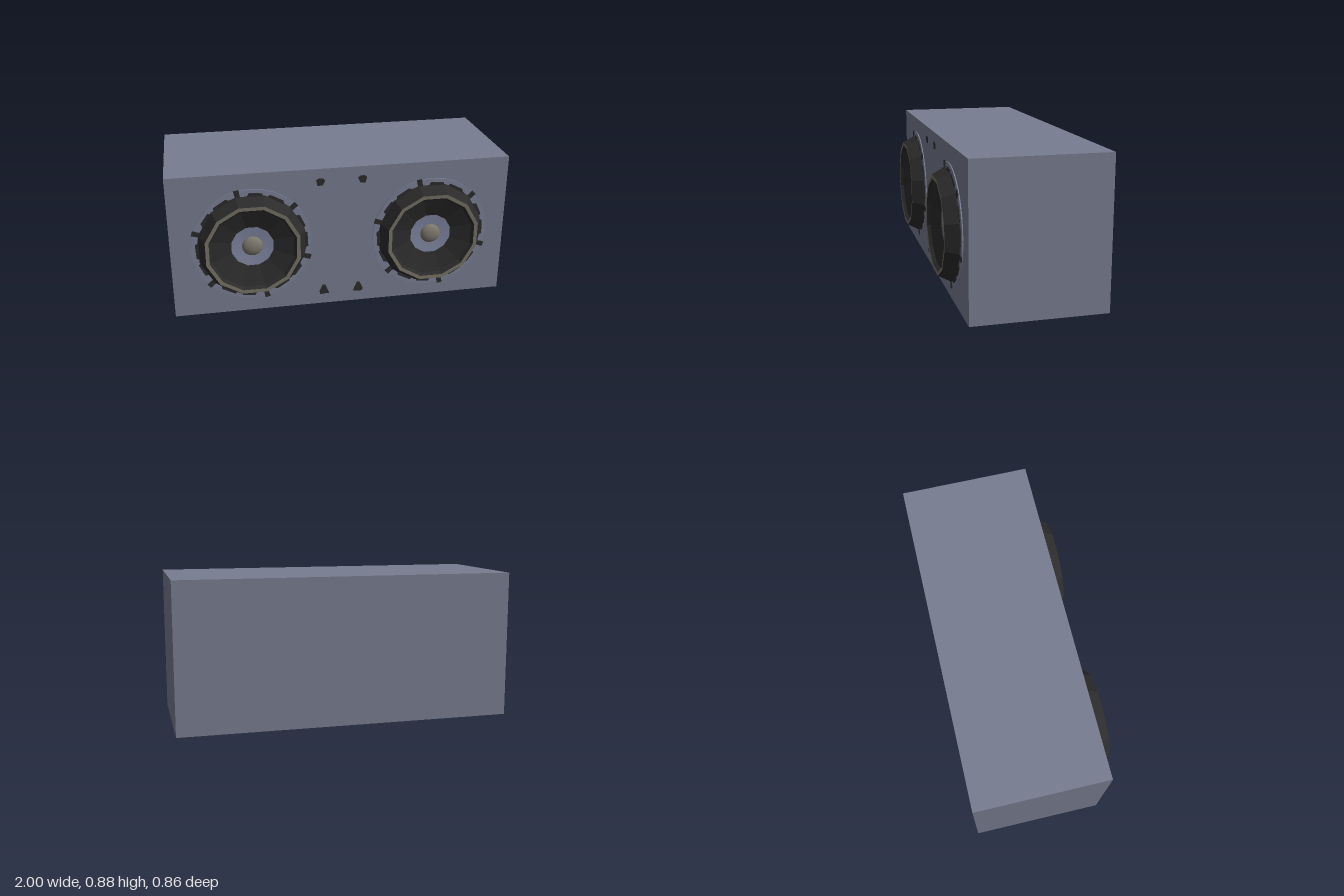
import * as THREE from 'three';

const mat = (name, color, side = THREE.FrontSide) => {
  const m = new THREE.MeshStandardMaterial({ color, side });
  m.name = name;
  return m;
};

export function createModel() {
  const cabinetMat = mat('slate', 0x777c90);
  const plateMat = mat('pale slate', 0x7c8197);
  const dishMat = mat('light slate', 0x8085a0, THREE.DoubleSide);
  const blackMat = mat('black rubber', 0x2b2b2b, THREE.DoubleSide);
  const rimMat = mat('warm grey', 0x757165, THREE.DoubleSide);
  blackMat.flatShading = rimMat.flatShading = true;
  const domeMat = mat('dome grey', 0x7d796d);

  const model = new THREE.Group();
  model.name = 'speakerCabinet';
  const add = (parent, name, geo, material, x = 0, y = 0, z = 0) => {
    const mesh = new THREE.Mesh(geo, material);
    mesh.name = name;
    mesh.position.set(x, y, z);
    parent.add(mesh);
    return mesh;
  };

  // Lathe turned so its axis points forward; flat edges at top and sides
  const ring = (points, sides = 12) =>
    new THREE.LatheGeometry(points.map(p => new THREE.Vector2(...p)), sides, Math.PI / 12)
      .rotateX(Math.PI / 2);

  // Cabinet
  const FRONT = 0.345;
  add(model, 'cabinet', new THREE.BoxGeometry(2, 0.875, 0.775), cabinetMat, 0, 0.4375, FRONT - 0.3875);

  // Flange outline: six tabs with worn lobes between them
  const sector = [
    [-2.5, 0.31], [-2.5, 0.357], [2.5, 0.357], [2.5, 0.315], [10, 0.315], [12, 0.328],
    [27, 0.328], [29, 0.31], [33, 0.31], [35, 0.328], [48, 0.328], [50, 0.31],
  ];
  const outline = [];
  for (let k = 0; k < 6; k++) {
    for (const [deg, r] of sector) {
      const a = THREE.MathUtils.degToRad(deg + 43 + 60 * k);
      outline.push(new THREE.Vector2(r * Math.cos(a), r * Math.sin(a)));
    }
  }
  const flangeShape = new THREE.Shape(outline);
  flangeShape.holes.push(new THREE.Path().absarc(0, 0, 0.29, 0, Math.PI * 2, true));
  const flangeGeo = new THREE.ExtrudeGeometry(flangeShape, { depth: 0.005, bevelEnabled: false });

  // Speakers, local z = 0 on the cabinet front
  for (const [side, x, y] of [['right', -0.53, 0.433], ['left', 0.535, 0.423]]) {
    const speaker = new THREE.Group();
    speaker.name = side + 'Speaker';
    speaker.position.set(x, y, FRONT);
    model.add(speaker);
    add(speaker, 'backPlate', new THREE.CylinderGeometry(0.35, 0.35, 0.006, 32).rotateX(Math.PI / 2),
      plateMat, 0, 0, 0.003);
    add(speaker, 'flange', flangeGeo, blackMat, 0, 0, 0.007);
    add(speaker, 'surround', ring([[0.318, 0.006], [0.318, 0.014], [0.281, 0.084]]), blackMat);
    add(speaker, 'rim', ring([[0.281, 0.084], [0.259, 0.083]]), rimMat);
    add(speaker, 'cone', ring([[0.259, 0.083], [0.245, 0.064], [0.125, 0.022]]), blackMat);
    add(speaker, 'dish', ring([[0.126, 0.022], [0.05, 0.014], [0, 0.014]], 24), dishMat);
    const dome = add(speaker, 'dome',
      new THREE.SphereGeometry(0.06, 24, 8, 0, Math.PI * 2, 0, Math.PI / 2).rotateX(Math.PI / 2),
      domeMat, 0, 0, 0.014);
    dome.scale.z = 0.5;
  }

  // Small dark spots on the baffle: rounded above, tapered below
  const upper = [[-0.024, 0.012], [-0.012, 0.022], [0.016, 0.022], [0.028, 0.008], [0.014, -0.02], [-0.016, -0.022]];
  const lower = [[-0.028, -0.024], [0.028, -0.028], [0.032, -0.01], [0.012, 0.034], [-0.004, 0.034]];
  const spots = [[-0.128, 0.795, upper, 1], [0.12, 0.797, upper, -1], [-0.105, 0.092, lower, -1], [0.098, 0.092, lower, 1]];
  spots.forEach(([x, y, pts, flip], i) => {
    const shape = new THREE.Shape(pts.map(([px, py]) => new THREE.Vector2(px * flip, py)));
    add(model, 'baffleSpot' + (i + 1),
      new THREE.ExtrudeGeometry(shape, { depth: 0.004, bevelEnabled: false }), blackMat, x, y, FRONT);
  });

  return model;
}
